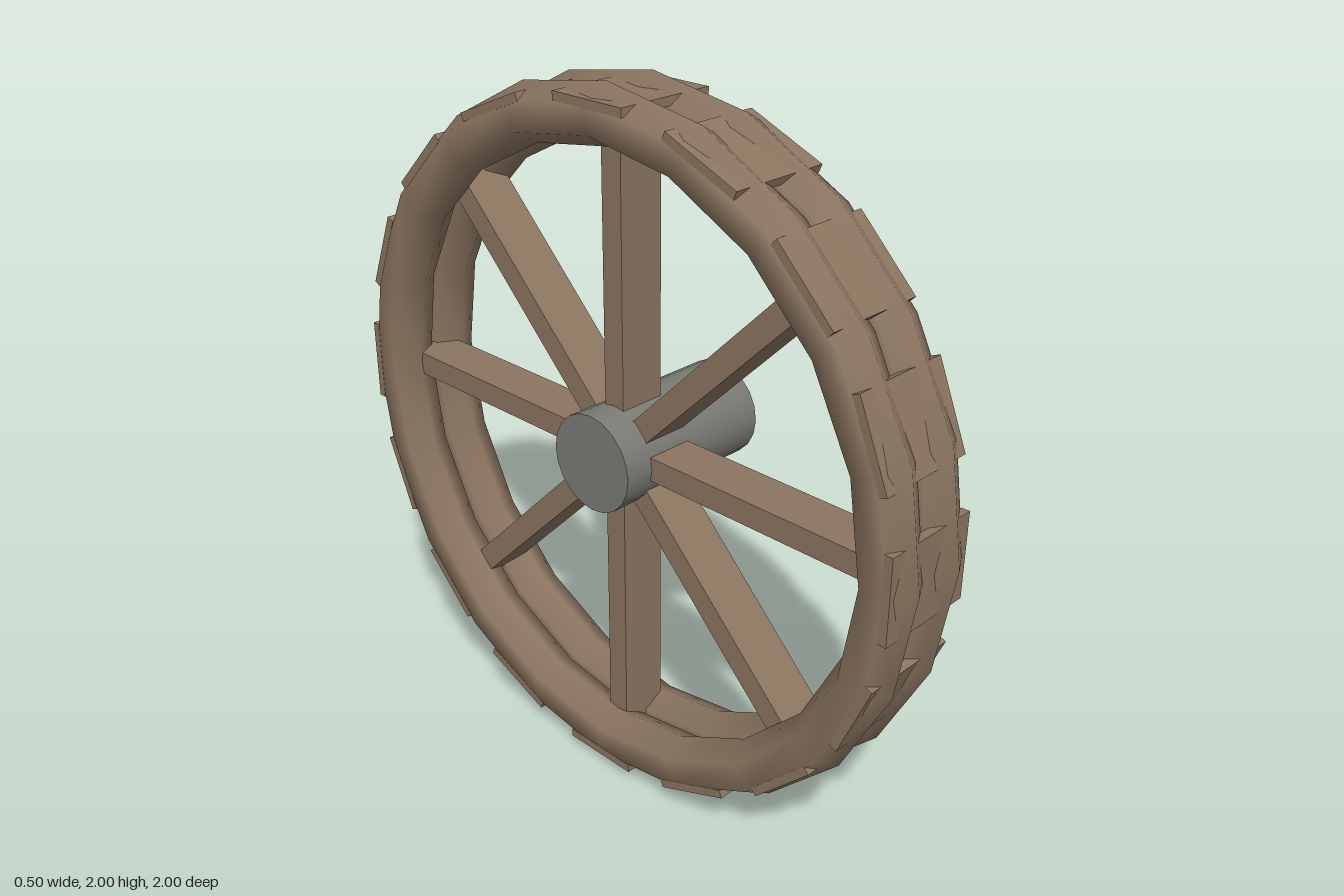
import * as THREE from 'three';

export function createModel() {
  const wood = new THREE.MeshStandardMaterial({ color: 0x8b7560 });
  wood.name = 'brown wood';
  const metal = new THREE.MeshStandardMaterial({ color: 0x7a7b75 });
  metal.name = 'grey metal';

  const model = new THREE.Group();
  model.name = 'spokedWheel';
  const wheel = new THREE.Group(); // axle runs along x
  wheel.name = 'wheel';
  wheel.position.y = 1;
  model.add(wheel);

  const midX = -0.0925;
  const add = (name, geometry, material, x) => {
    const mesh = new THREE.Mesh(geometry, material);
    mesh.name = name;
    mesh.position.x = x;
    wheel.add(mesh);
    return mesh;
  };

  // Twin rims: hexagonal tube, twenty segments around
  const rim = new THREE.TorusGeometry(0.92, 0.08, 6, 20).rotateY(Math.PI / 2);
  add('innerRim', rim, wood, midX + 0.0785);
  add('outerRim', rim, wood, midX - 0.0785);

  // Tread slats bridging both rims
  const slat = new THREE.BoxGeometry(0.297, 0.024, 0.24).translate(0, 0.956, 0);
  for (let i = 0; i < 16; i++) {
    add('treadSlat', slat, wood, midX).rotation.x = (i * Math.PI) / 8;
  }

  // Four full-width bars make the eight spokes
  const bar = new THREE.BoxGeometry(0.14, 1.78, 0.068);
  for (let i = 0; i < 4; i++) {
    add('spokeBar', bar, wood, midX).rotation.x = (i * Math.PI) / 4;
  }

  // Hub, longer on the inner side
  add('hub', new THREE.CylinderGeometry(0.14, 0.14, 0.5, 20).rotateZ(Math.PI / 2), metal, 0);

  return model;
}
